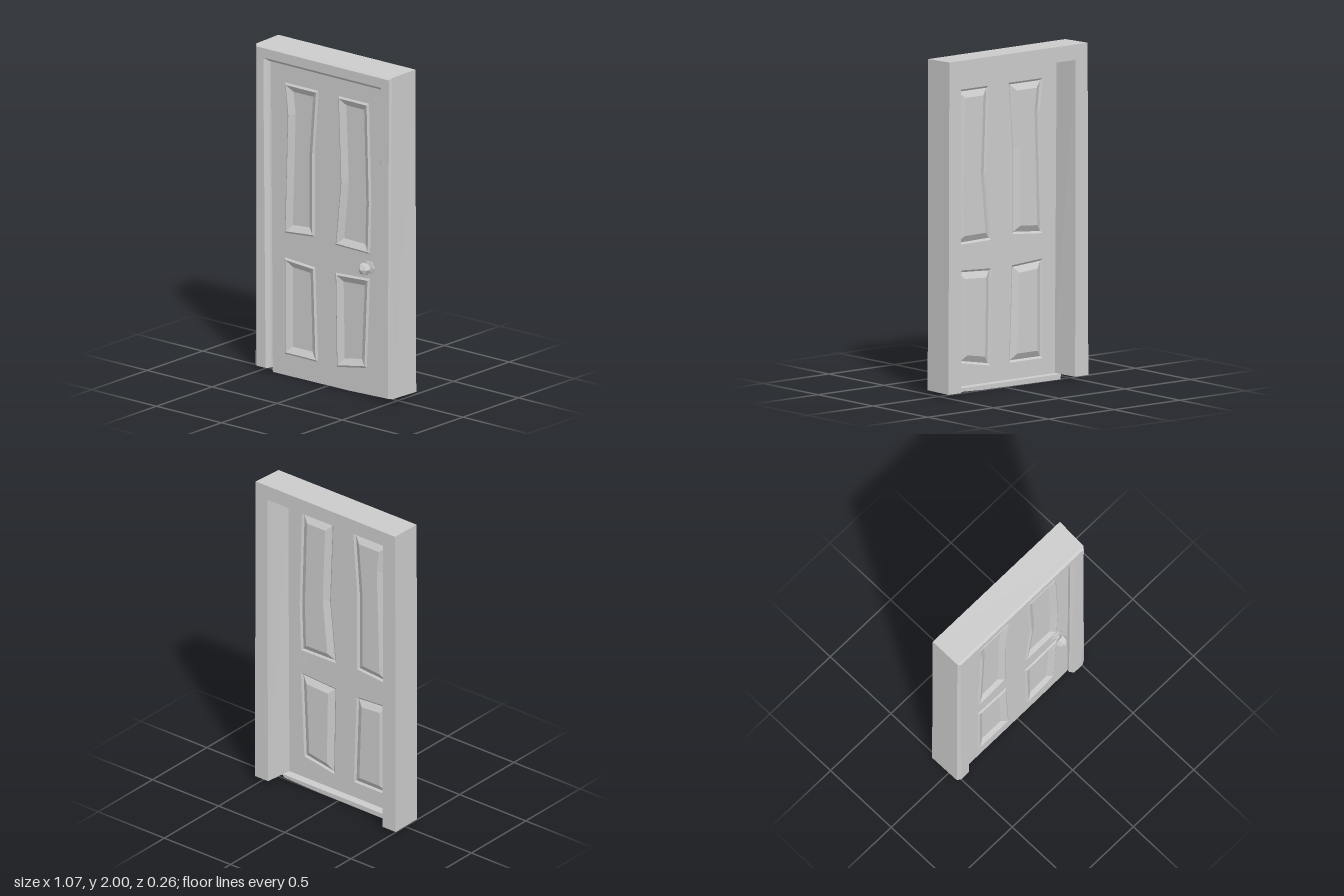
import * as THREE from 'three';

const solid = new THREE.MeshStandardMaterial({ color: 0xcccccc, flatShading: true });
const sheet = new THREE.MeshStandardMaterial({ color: 0xcccccc, flatShading: true, side: THREE.DoubleSide });

function addMesh(parent, name, geometry, material = solid) {
  const mesh = new THREE.Mesh(geometry, material);
  mesh.name = name;
  parent.add(mesh);
}

const toPoints = (list) => list.map((p) => new THREE.Vector2(p[0], p[1]));

// Triangles joining matching loops of [x, y, z] corners.
function bridge(loops) {
  const tris = [];
  const n = loops[0].length;
  for (let k = 0; k < loops.length - 1; k++) {
    for (let i = 0; i < n; i++) {
      const j = (i + 1) % n;
      const [a, b, c, d] = [loops[k][i], loops[k][j], loops[k + 1][j], loops[k + 1][i]];
      tris.push([a, b, c], [a, c, d]);
    }
  }
  return tris;
}

function fromTriangles(tris) {
  const g = new THREE.BufferGeometry();
  g.setAttribute('position', new THREE.Float32BufferAttribute(tris.flat(2), 3));
  g.computeVertexNormals();
  return g;
}

// Fan across a convex loop.
const fan = (loop) => loop.slice(2).map((p, i) => [loop[0], loop[i + 1], p]);

// Move a counter-clockwise outline inwards by d with mitred corners.
function inset(outline, d) {
  const n = outline.length;
  return outline.map((p, i) => {
    const v = new THREE.Vector2(...p);
    const e1 = v.clone().sub(new THREE.Vector2(...outline[(i + n - 1) % n])).normalize();
    const e2 = new THREE.Vector2(...outline[(i + 1) % n]).sub(v).normalize();
    const n1 = new THREE.Vector2(-e1.y, e1.x);
    const n2 = new THREE.Vector2(-e2.y, e2.x);
    const m = n1.clone().add(n2).multiplyScalar(d / (1 + n1.dot(n2)));
    return [p[0] + m.x, p[1] + m.y];
  });
}

const panels = {
  upperRightPanel: [[-0.33, 0.87], [-0.1, 0.89], [-0.1, 1.4], [-0.07, 1.79], [-0.33, 1.79], [-0.308, 1.6]],
  upperLeftPanel: [[0.06, 0.875], [0.325, 0.87], [0.335, 1.18], [0.317, 1.79], [0.08, 1.79], [0.1, 1.27]],
  lowerRightPanel: [[-0.33, 0.13], [-0.075, 0.13], [-0.095, 0.705], [-0.33, 0.72]],
  lowerLeftPanel: [[0.07, 0.13], [0.3, 0.17], [0.325, 0.72], [0.06, 0.705]],
};

export function createModel() {
  const model = new THREE.Group();
  model.name = 'door';

  // Frame: one profile swept up the right jamb, over the head and down the left jamb.
  // Each station: outer back, outer front, bevelled front, face edge, inner front, inner back.
  const depth = [-0.128, 0.073, 0.087, 0.087, 0.062, -0.128];
  const foot = [0.03, 0.03, 0.03, 0.03, 0.03, 0.03];
  const stations = [
    { x: [-0.533, -0.53, -0.507, -0.442, -0.422, -0.433], y: foot },
    { x: [-0.528, -0.526, -0.51, -0.46, -0.437, -0.437], y: [2, 1.995, 1.983, 1.925, 1.904, 1.908] },
    { x: [0.525, 0.518, 0.507, 0.443, 0.42, 0.437], y: [2, 1.993, 1.98, 1.922, 1.901, 1.908] },
    { x: [0.532, 0.522, 0.497, 0.427, 0.41, 0.433], y: foot },
  ];
  const loops = stations.map(({ x, y }) => depth.map((z, i) => [x[i], y[i], z]));
  addMesh(model, 'frame', fromTriangles([
    ...bridge(loops),
    ...fan([...loops[0]].reverse()),
    ...fan(loops[3]),
  ]));

  // Door leaf: a thin sheet with four openings.
  const leafZ = 0.045;
  const leaf = new THREE.Shape(toPoints([
    [-0.422, 0], [0.17, 0.004], [0.41, 0.012], [0.436, 0.1], [0.44, 1.92], [-0.448, 1.92], [-0.436, 0.1],
  ]));
  leaf.holes = Object.values(panels).map((o) => new THREE.Path(toPoints(o)));
  const leafGeometry = new THREE.ShapeGeometry(leaf);
  leafGeometry.translate(0, 0, leafZ);
  addMesh(model, 'leaf', leafGeometry, sheet);

  // Sill under the frame, behind the foot of the leaf.
  const sill = new THREE.ExtrudeGeometry(new THREE.Shape(toPoints([
    [-0.422, 0], [0.17, 0.004], [0.41, 0.012], [0.425, 0.031], [-0.425, 0.031],
  ])), { depth: 0.052, bevelEnabled: false });
  sill.translate(0, 0, -0.008);
  addMesh(model, 'sill', sill);

  // Panels: a fine raised moulding, then a slope down to a sunken field.
  for (const [name, outline] of Object.entries(panels)) {
    const ring = (d, z) => inset(outline, d).map((p) => [...p, z]);
    const field = ring(0.05, 0.032);
    const fieldTris = THREE.ShapeUtils.triangulateShape(toPoints(field), [])
      .map((t) => t.map((i) => field[i]));
    const slopes = bridge([ring(0, leafZ), ring(0.012, 0.054), field]);
    addMesh(model, name, fromTriangles([...slopes, ...fieldTris]), sheet);
  }

  // Six-sided knob with rosette and neck.
  const knob = new THREE.LatheGeometry(toPoints([
    [0.043, 0.044], [0.043, 0.05], [0.016, 0.056], [0.016, 0.072],
    [0.039, 0.083], [0.033, 0.11], [0, 0.128],
  ]), 6, Math.PI / 2);
  knob.rotateX(Math.PI / 2);
  knob.translate(0.32, 0.79, 0);
  addMesh(model, 'knob', knob);

  return model;
}
